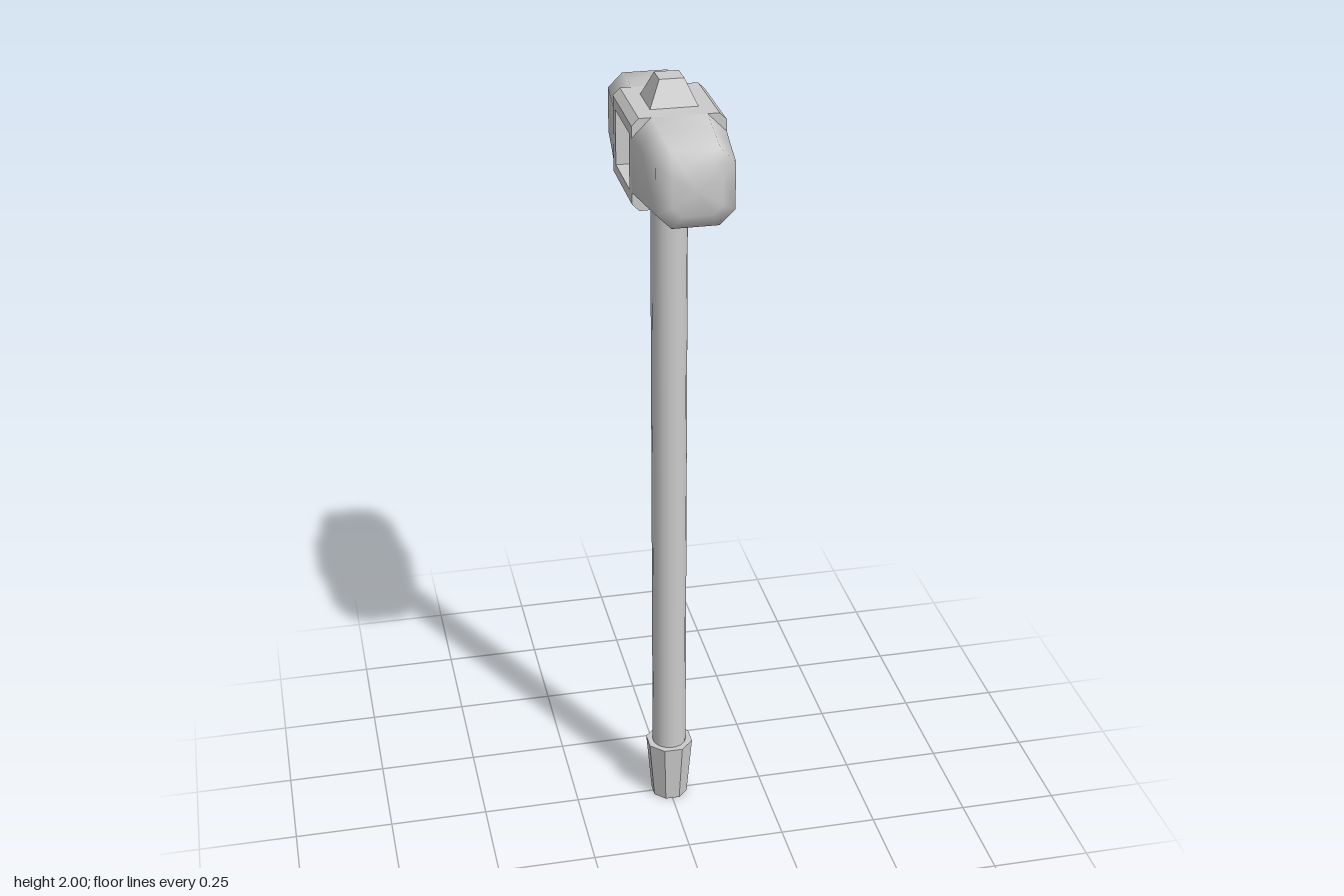
import * as THREE from 'three';

const HEAD_Y = 1.83; // height of the head's centre line

const smooth = new THREE.MeshStandardMaterial({ color: 0xcccccc });
const flat = new THREE.MeshStandardMaterial({ color: 0xcccccc, flatShading: true });

function part(name, geometry, material, y = 0) {
  const mesh = new THREE.Mesh(geometry, material);
  mesh.name = name;
  mesh.position.y = y;
  return mesh;
}

// Tapered cylinder standing between two heights, with flats facing the axes
function taper(rTop, rBottom, y0, y1, sides) {
  return new THREE.CylinderGeometry(rTop, rBottom, y1 - y0, sides)
    .rotateY(Math.PI / sides)
    .translate(0, (y0 + y1) / 2, 0);
}

// Octagonal striking end: rings of [z, half width, half flat], closed by a fan
function strikerGeometry() {
  const rings = [
    [0.11, 0.11, 0.065],
    [0.175, 0.102, 0.061],
    [0.28, 0.09, 0.055],
    [0.3, 0.057, 0.035],
  ];
  const points = [];
  const index = [];
  rings.forEach(([z, h, c], r) => {
    const outline = [[h, -c], [h, c], [c, h], [-c, h], [-h, c], [-h, -c], [-c, -h], [c, -h]];
    outline.forEach(([x, y], i) => {
      points.push(x, y, z);
      const a = r * 8 + i;
      const b = r * 8 + ((i + 1) % 8);
      if (r < rings.length - 1) index.push(a, b, b + 8, a, b + 8, a + 8);
      else index.push(a, b, rings.length * 8);
    });
  });
  points.push(0, 0, 0.3);
  const geometry = new THREE.BufferGeometry();
  geometry.setAttribute('position', new THREE.Float32BufferAttribute(points, 3));
  geometry.setIndex(index);
  geometry.computeVertexNormals();
  return geometry;
}

function rectangle(path, w, h) {
  path.moveTo(-w, -h);
  path.lineTo(w, -h);
  path.lineTo(w, h);
  path.lineTo(-w, h);
  path.closePath();
  return path;
}

// Cheek frame around a rectangular recess, long outer edges chamfered
function cheekGeometry() {
  const shape = rectangle(new THREE.Shape(), 0.11, 0.11);
  shape.holes.push(rectangle(new THREE.Path(), 0.081, 0.067));
  const geometry = new THREE.ExtrudeGeometry(shape, { depth: 0.034, steps: 2, bevelEnabled: false });
  const p = geometry.attributes.position;
  for (let i = 0; i < p.count; i++) {
    if (p.getZ(i) > 0.03 && Math.abs(p.getY(i)) > 0.1) p.setY(i, Math.sign(p.getY(i)) * 0.093);
  }
  geometry.translate(0, 0, 0.076).rotateY(Math.PI / 2);
  geometry.computeVertexNormals();
  return geometry;
}

export function createModel() {
  const model = new THREE.Group();
  model.name = 'sledgehammer';

  // Handle, grip and collar
  model.add(
    part('grip', taper(0.062, 0.048, 0, 0.165, 8), flat),
    part('handle', taper(0.044, 0.044, 0.1, 1.75, 16), smooth),
    part('collar', taper(0.072, 0.042, 1.69, 1.722, 8), flat),
  );

  // Head: core block, with a cheek and a striker on each side
  const head = new THREE.Group();
  head.name = 'head';
  head.position.y = HEAD_Y;
  head.add(part('core', new THREE.BoxGeometry(0.152, 0.22, 0.22), flat));
  const cheek = cheekGeometry();
  const striker = strikerGeometry();
  for (const [side, end, turn] of [['left', 'front', 0], ['right', 'back', Math.PI]]) {
    const cheekMesh = part(side + 'Cheek', cheek, flat);
    const strikerMesh = part(end + 'Striker', striker, smooth);
    cheekMesh.rotation.y = strikerMesh.rotation.y = turn;
    head.add(cheekMesh, strikerMesh);
  }
  model.add(head);

  // Square wedge capping the handle above the head
  const wedge = new THREE.CylinderGeometry(0.029 * Math.SQRT2, 0.058 * Math.SQRT2, 0.064, 4).rotateY(Math.PI / 4);
  model.add(part('wedge', wedge, flat, 1.968));

  return model;
}
